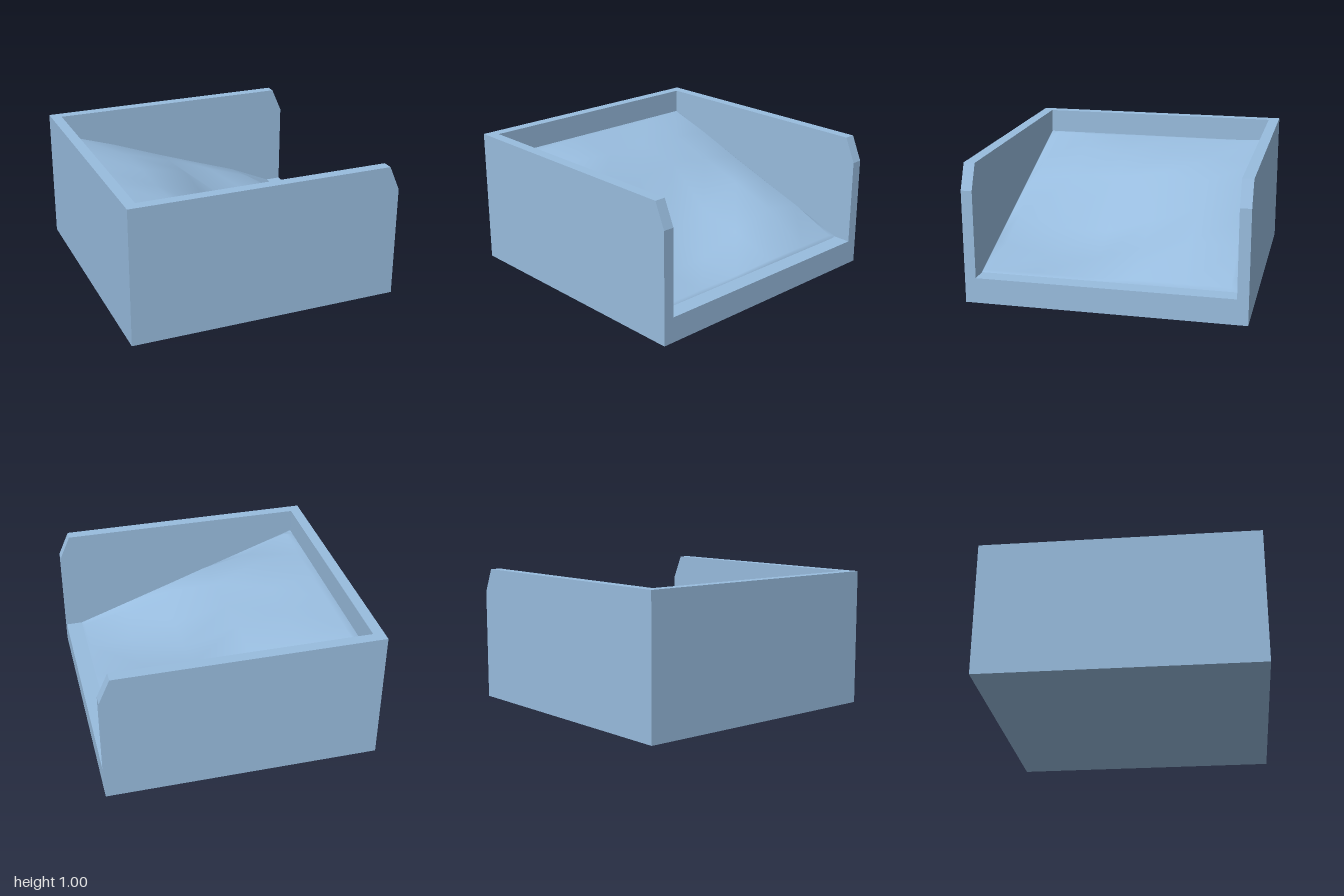
import * as THREE from 'three';

const WALL = 0.08, INNER = 1 - WALL, LIP_X = 0.875, LIP_Y = 0.185, TOP_Y = 0.82;

// Uneven slope: a coarse net of heights whose outer edge runs straight along the walls
function slopeGeometry() {
  const xs = [-INNER, -0.86, -0.52, -0.17, 0.17, 0.52, 0.86, LIP_X];
  const zs = [-INNER, -0.86, -0.53, -0.17, 0.17, 0.53, 0.86, INNER];
  // Inner heights from the closed end to the open end, rows from back to front
  const inner = [
    [0.84, 0.73, 0.60, 0.48, 0.36, 0.21],
    [0.83, 0.76, 0.66, 0.54, 0.42, 0.21],
    [0.83, 0.77, 0.70, 0.42, 0.33, 0.21],
    [0.83, 0.77, 0.66, 0.32, 0.22, 0.20],
    [0.82, 0.79, 0.64, 0.32, 0.22, 0.205],
    [0.83, 0.675, 0.60, 0.41, 0.28, 0.20],
  ];
  const n = xs.length, last = n - 1, positions = [], index = [];
  for (let r = 0; r < n; r++) {
    for (let c = 0; c < n; c++) {
      const edge = r === 0 || r === last || c === 0 || c === last;
      const t = (xs[c] + INNER) / (LIP_X + INNER);
      const y = edge ? TOP_Y + (LIP_Y - TOP_Y) * t : inner[r - 1][c - 1];
      positions.push(xs[c], y, zs[r]);
      if (r < last && c < last) {
        const a = r * n + c;
        index.push(a, a + n, a + n + 1, a, a + n + 1, a + 1);
      }
    }
  }
  const geometry = new THREE.BufferGeometry();
  geometry.setAttribute('position', new THREE.Float32BufferAttribute(positions, 3));
  geometry.setIndex(index);
  geometry.computeVertexNormals();
  return geometry;
}

export function createModel() {
  const group = new THREE.Group();
  const material = new THREE.MeshStandardMaterial({ color: 0x98bcde });
  const add = (name, geometry, mat = material) => {
    const mesh = new THREE.Mesh(geometry, mat);
    mesh.name = name;
    group.add(mesh);
    return mesh;
  };

  // Side walls with a bevelled corner at the open end
  const profile = new THREE.Shape([[-1, 0], [1, 0], [1, 0.82], [0.92, 1], [-1, 1]]
    .map(([x, y]) => new THREE.Vector2(x, y)));
  const wall = new THREE.ExtrudeGeometry(profile, { depth: WALL, bevelEnabled: false });
  add('frontWall', wall).position.z = INNER;
  add('backWall', wall).position.z = -1;

  // Closed end wall
  add('endWall', new THREE.BoxGeometry(WALL, 1, 2 * INNER)).position.set(-1 + WALL / 2, 0.5, 0);

  // Base slab, whose top shows as the lip at the open end
  add('base', new THREE.BoxGeometry(1 + INNER, LIP_Y, 2 * INNER))
    .position.set(WALL / 2, LIP_Y / 2, 0);

  const slopeMaterial = material.clone();
  slopeMaterial.side = THREE.DoubleSide;
  add('slope', slopeGeometry(), slopeMaterial);

  return group;
}
